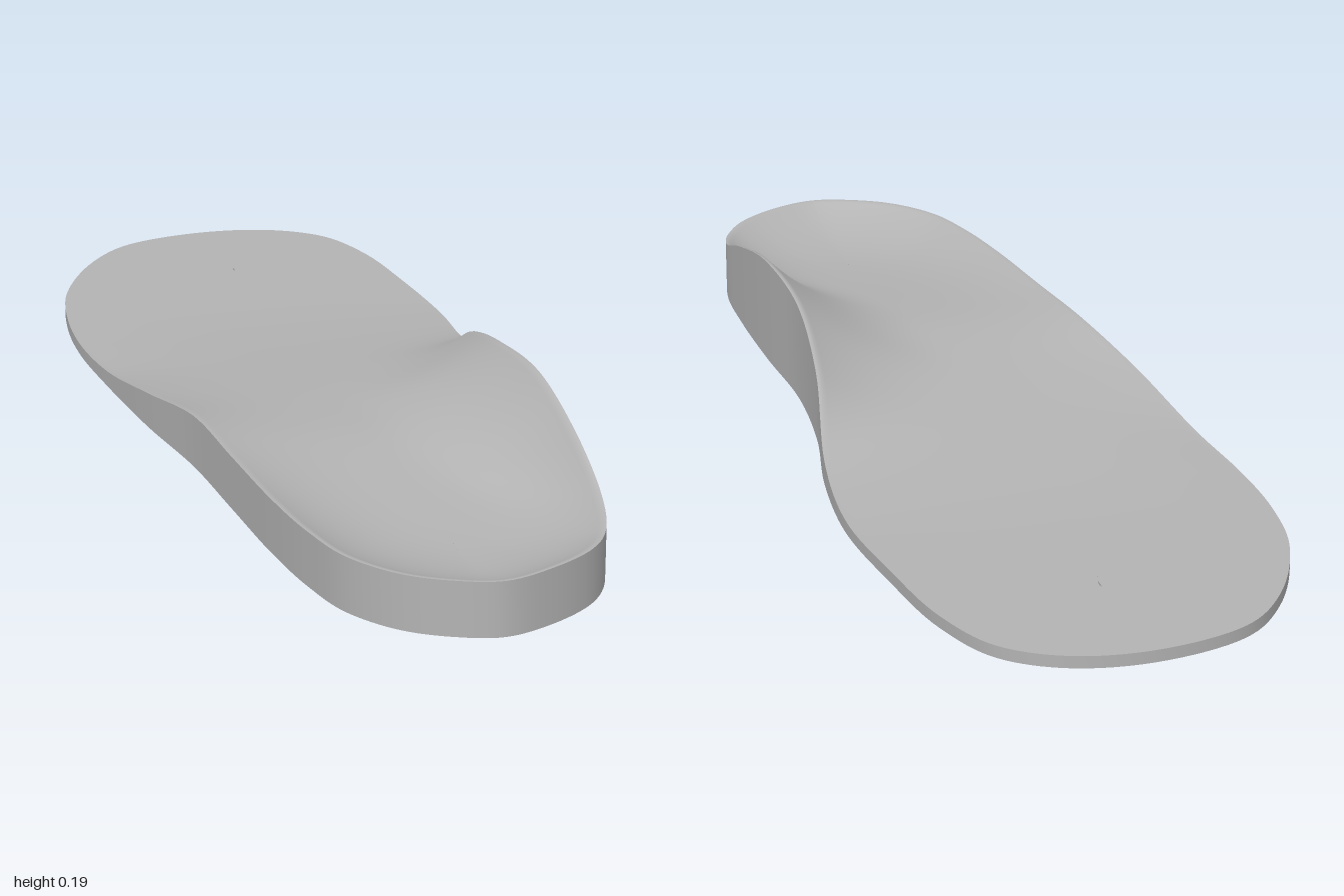
import * as THREE from 'three';

const { smoothstep } = THREE.MathUtils;
const STATIONS = 120; // toe to heel
const HALF = 20; // columns from the spine to either edge

// Rim points [x, rim height, z], toe to heel
const archSide = [
  [0.16, 0.02, -0.98], [0.25, 0.02, -0.915], [0.3, 0.02, -0.79], [0.325, 0.02, -0.6],
  [0.338, 0.021, -0.4], [0.318, 0.042, -0.2], [0.277, 0.122, 0], [0.256, 0.174, 0.2],
  [0.26, 0.188, 0.4], [0.258, 0.15, 0.6], [0.248, 0.105, 0.75], [0.22, 0.09, 0.85],
  [0.177, 0.09, 0.915], [0.1, 0.091, 0.97],
];
const outerSide = [
  [-0.13, 0.02, -0.96], [-0.22, 0.02, -0.87], [-0.305, 0.02, -0.7], [-0.335, 0.02, -0.55],
  [-0.342, 0.02, -0.4], [-0.329, 0.028, -0.22], [-0.304, 0.062, 0], [-0.272, 0.09, 0.2],
  [-0.256, 0.09, 0.4], [-0.24, 0.09, 0.6], [-0.22, 0.09, 0.74], [-0.19, 0.09, 0.85],
  [-0.13, 0.09, 0.935], [-0.06, 0.09, 0.98],
];
const rim = new THREE.CatmullRomCurve3(
  [[0.03, 0.02, -1], ...archSide, [0.013, 0.09, 1], ...outerSide.reverse()]
    .map((p) => new THREE.Vector3(...p)), true);

// Height of the footbed along the middle: thin toe, raised midfoot, sunken heel
const floorHeight = (z) =>
  0.02 + 0.055 * smoothstep(z, -0.55, 0.35) - 0.033 * smoothstep(z, 0.25, 0.8);

function edges(i) {
  const t = (0.5 * i) / STATIONS;
  return [rim.getPoint((1 - t) % 1), rim.getPoint(t)];
}

// Point of the footbed at station i and column j (0 = outer rim, 2 * HALF = arch rim)
function topPoint(i, j) {
  const [outer, arch] = edges(i);
  const spine = outer.clone().add(arch).multiplyScalar(0.5);
  spine.z *= 0.72;
  const u = (j - HALF) / HALF;
  const edge = u < 0 ? outer : arch;
  const s = Math.sin(Math.abs(u) * Math.PI / 2);
  const p = spine.lerp(edge, s);
  const power = 3 - 0.9 * smoothstep(edge.y, 0.1, 0.18);
  const f = floorHeight(p.z);
  p.y = f + (edge.y - f) * Math.pow(Math.min(s / 0.975, 1), power); // flat lip at the rim
  return p;
}

// Grid surface from point(row, column)
function gridSurface(rows, cols, point, flip) {
  const pos = [], index = [];
  for (let i = 0; i <= rows; i++)
    for (let j = 0; j <= cols; j++) pos.push(...point(i, j).toArray());
  for (let i = 0; i < rows; i++)
    for (let j = 0; j < cols; j++) {
      const a = i * (cols + 1) + j, b = a + cols + 1;
      if (flip) index.push(a, a + 1, b, b, a + 1, b + 1);
      else index.push(a, b, a + 1, b, b + 1, a + 1);
    }
  const g = new THREE.BufferGeometry();
  g.setAttribute('position', new THREE.Float32BufferAttribute(pos, 3));
  g.setIndex(index);
  g.computeVertexNormals();
  return g;
}

export function createModel() {
  const group = new THREE.Group();
  group.name = 'insole';
  const grey = new THREE.MeshStandardMaterial({ color: 0xb3b3b3 });
  grey.name = 'grey foam';
  const add = (name, geometry) => {
    const mesh = new THREE.Mesh(geometry, grey);
    mesh.name = name;
    group.add(mesh);
  };

  add('footbed', gridSurface(STATIONS, 2 * HALF, topPoint, false));
  add('sole', gridSurface(STATIONS, 2 * HALF, (i, j) => topPoint(i, j).setY(0), true));

  // Upright wall all the way round, from the rim down to the ground
  add('sideWall', gridSurface(2 * STATIONS, 1, (i, j) => {
    const p = rim.getPoint((i / (2 * STATIONS)) % 1);
    return j ? p.setY(0) : p;
  }, false));
  return group;
}
